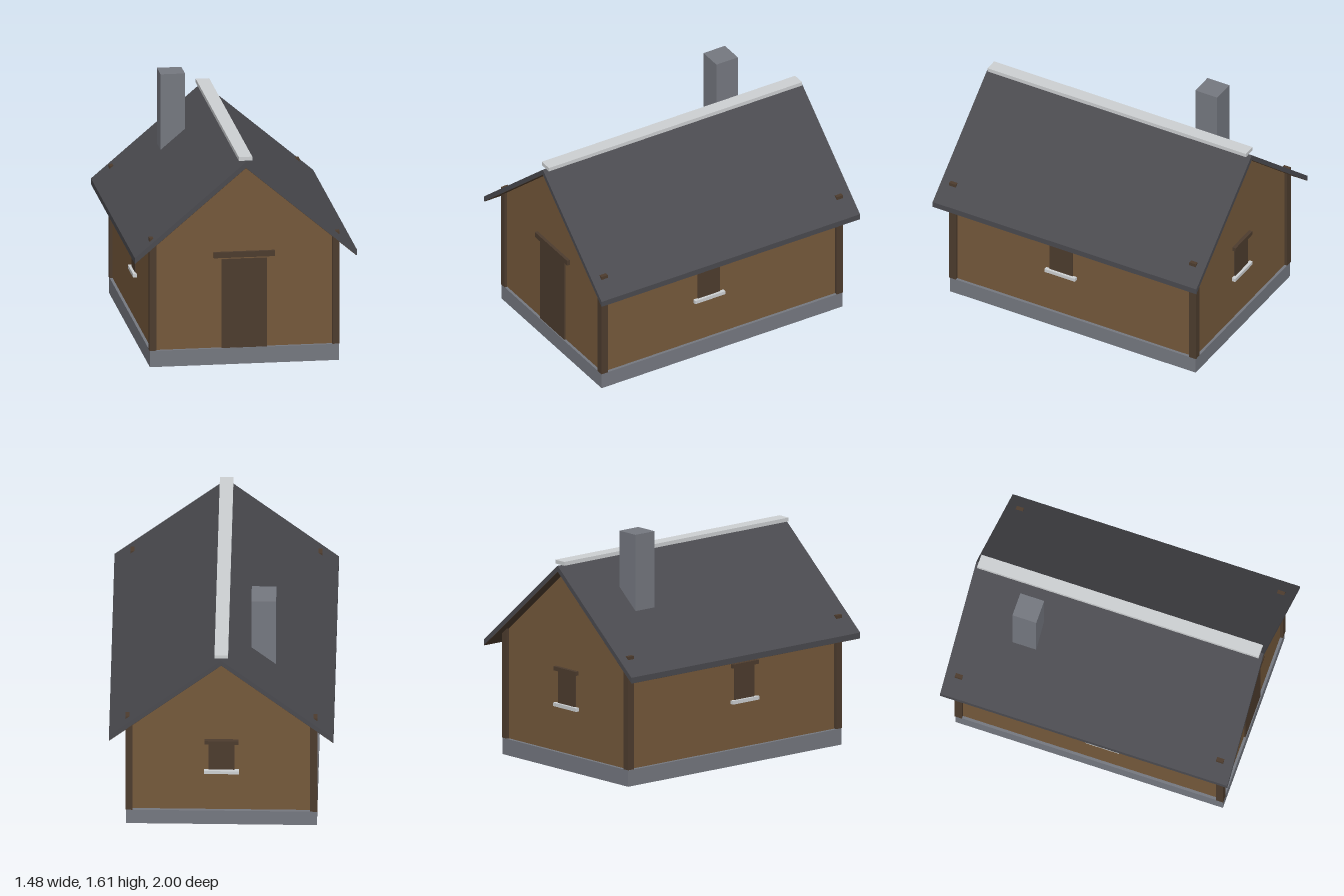
import * as THREE from 'three';

const mat = (name, color, side = THREE.FrontSide) => {
  const m = new THREE.MeshStandardMaterial({ color, side });
  m.name = name;
  return m;
};

export function createModel() {
  const house = new THREE.Group();
  house.name = 'house';
  const plaster = mat('brownWall', 0x75593b);
  const wood = mat('darkWood', 0x4d3c2e);
  const stone = mat('greyStone', 0x757880, THREE.DoubleSide);
  const slate = mat('darkSlate', 0x4a4a4f);
  const pale = mat('paleTrim', 0xcdd0d2);

  const add = (name, geometry, material, parent = house) => {
    const mesh = new THREE.Mesh(geometry, material);
    mesh.name = name;
    parent.add(mesh);
    return mesh;
  };
  // Box given by its lowest and highest corners
  const box = (name, material, [x0, y0, z0], [x1, y1, z1], parent) => {
    const g = new THREE.BoxGeometry(x1 - x0, y1 - y0, z1 - z0);
    g.translate((x0 + x1) / 2, (y0 + y1) / 2, (z0 + z1) / 2);
    return add(name, g, material, parent);
  };
  // Outline in the x-y plane, extruded evenly along z
  const prism = (name, material, points, halfDepth) => {
    const shape = new THREE.Shape(points.map(([x, y]) => new THREE.Vector2(x, y)));
    const g = new THREE.ExtrudeGeometry(shape, { depth: halfDepth * 2, bevelEnabled: false });
    g.translate(0, 0, -halfDepth);
    return add(name, g, material);
  };

  // Foundation: box without its underside
  const base = new THREE.BoxGeometry(1.26, 0.11, 1.864);
  base.setIndex([...base.index.array].filter((_, i) => i < 18 || i >= 24));
  base.clearGroups();
  base.translate(0, 0.055, 0);
  add('foundation', base, stone);

  // Walls with gables
  const wx = 0.612, wz = 0.915;
  prism('walls', plaster,
    [[-wx, 0.112], [wx, 0.112], [wx, 0.836], [0, 1.356], [-wx, 0.836]], wz);

  // Corner posts, their tops just breaking through the roof
  for (const sx of [-1, 1]) for (const sz of [-1, 1]) {
    const post = box('cornerPost', wood, [-0.024, 0.112, -0.025], [0.024, 0.88, 0.025]);
    post.position.set(sx * 0.609, 0, sz * 0.91);
  }

  // Roof and its wooden lining
  const chevron = (x, eave, peak, t) =>
    [[-x, eave - t], [0, peak - t], [x, eave - t], [x, eave], [0, peak], [-x, eave]];
  prism('roof', slate, chevron(0.74, 0.767, 1.395, 0.039), 1);
  prism('roofLining', wood, chevron(0.738, 0.7295, 1.3565, 0.003), 0.998);
  box('ridgeCap', pale, [-0.045, 1.4, -0.98], [0.045, 1.426, 0.98]);

  // Chimney
  box('chimney', stone, [-0.355, 1.0, -0.628], [-0.192, 1.61, -0.462]);

  // Door, running down behind the foundation face
  box('door', wood, [-0.152, 0.04, 0.9], [0.15, 0.716, 0.926]);
  box('doorLintel', wood, [-0.204, 0.728, 0.9], [0.202, 0.766, 0.936]);

  // Windows: local +z points out of the wall
  const addWindow = (name, x, z, turn) => {
    const w = new THREE.Group();
    w.name = name;
    box('windowPane', wood, [-0.086, 0.43, -0.01], [0.086, 0.67, 0.007], w);
    box('windowLintel', wood, [-0.112, 0.66, -0.01], [0.112, 0.687, 0.025], w);
    box('windowSill', pale, [-0.116, 0.417, -0.01], [0.116, 0.441, 0.025], w);
    w.position.set(x, 0, z);
    w.rotation.y = turn;
    house.add(w);
  };
  addWindow('leftWindow', wx, 0.095, Math.PI / 2);
  addWindow('rightWindow', -wx, 0.095, -Math.PI / 2);
  addWindow('backWindow', 0, -wz, Math.PI);

  return house;
}
